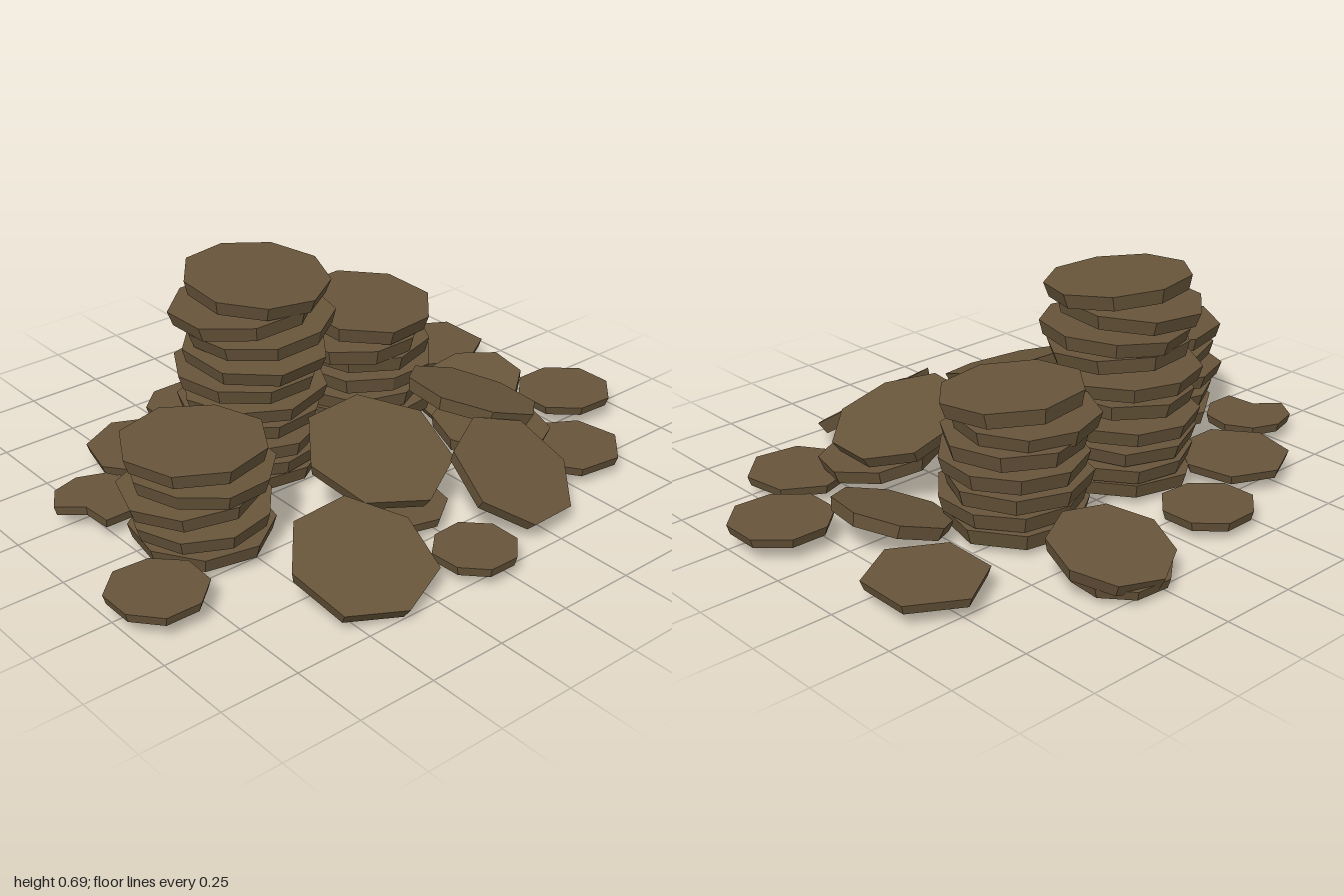
import * as THREE from 'three';

const bronze = new THREE.MeshStandardMaterial({ color: 0x67553a });
bronze.name = 'dull bronze';

// Seeded generator for the slightly uneven rims
let seed = 11;
const rand = () => (seed = (seed * 16807) % 2147483647) / 2147483647;

// Faceted disc with an uneven rim; slopeX and slopeZ are the rise along x and z
function coin(name, x, y, z, r, h, sides, phase, slopeX = 0, slopeZ = 0, notch = -1) {
  let geo = new THREE.CylinderGeometry(r, r * 0.94, h, sides);
  const rim = Array.from({ length: sides }, (_, i) => (i === notch ? 0.5 : 0.97 + rand() * 0.06));
  const p = geo.attributes.position;
  for (let i = 0; i < p.count; i++) {
    const a = Math.atan2(p.getX(i), p.getZ(i)) / (2 * Math.PI);
    const k = rim[(Math.round(a * sides) + sides) % sides];
    p.setX(i, p.getX(i) * k);
    p.setZ(i, p.getZ(i) * k);
  }
  geo.rotateY(phase);
  geo = geo.toNonIndexed();
  geo.computeVertexNormals();
  const mesh = new THREE.Mesh(geo, bronze);
  mesh.name = name;
  mesh.position.set(x, y, z);
  const up = new THREE.Vector3(-slopeX, 1, -slopeZ).normalize();
  mesh.quaternion.setFromUnitVectors(new THREE.Vector3(0, 1, 0), up);
  return mesh;
}

// Layers of a stack: x, y, z, slopeX, slopeZ
function stack(name, r, h, layers) {
  const g = new THREE.Group();
  g.name = name;
  layers.forEach(([x, y, z, sx, sz], i) =>
    g.add(coin('stackedCoin', x, y, z, r, h, 8 + (i % 2), i * 0.31 + 0.2, sx, sz)));
  return g;
}

export function createModel() {
  const model = new THREE.Group();
  model.name = 'coinPile';

  model.add(stack('tallStack', 0.23, 0.046, [
    [-0.18, 0.06, -0.18, 0, 0], [-0.17, 0.11, -0.18, 0.02, 0],
    [-0.19, 0.165, -0.17, 0, 0.02], [-0.18, 0.235, -0.19, 0, 0.01],
    [-0.18, 0.305, -0.17, 0.05, -0.02], [-0.195, 0.37, -0.18, 0, 0],
    [-0.18, 0.445, -0.16, 0, -0.1], [-0.16, 0.513, -0.16, 0.06, 0.02],
    [-0.215, 0.58, -0.17, 0.05, 0.06], [-0.17, 0.655, -0.16, -0.03, -0.09],
  ]));
  model.add(stack('rightStack', 0.225, 0.05, [
    [0.28, 0.06, -0.19, 0, 0], [0.29, 0.115, -0.18, 0, 0.02],
    [0.28, 0.17, -0.2, 0.02, 0], [0.29, 0.235, -0.19, 0, 0.02],
    [0.29, 0.305, -0.2, 0, 0], [0.24, 0.35, -0.19, 0, 0.02],
    [0.28, 0.425, -0.18, -0.03, -0.08],
  ]));
  model.add(stack('leftStack', 0.22, 0.045, [
    [-0.57, 0.065, 0.08, 0, 0], [-0.57, 0.13, 0.08, 0.04, 0],
    [-0.59, 0.205, 0.07, 0.06, 0.03], [-0.57, 0.265, 0.09, -0.03, 0],
    [-0.585, 0.34, 0.08, 0, 0],
  ]));

  // Coins lying flat around the stacks: x, y, z, radius, sides, phase, notched corner
  [
    [-0.73, 0.07, -0.23, 0.138, 9, 0.3, 7], [-0.45, 0.07, -0.41, 0.18, 7, Math.PI],
    [-0.15, 0.055, -0.57, 0.145, 8, 0.39], [0.75, 0.07, -0.35, 0.185, 6, 0],
    [0.85, 0.075, 0.19, 0.158, 8, 0.39], [0.6, 0.06, 0.45, 0.165, 7, 0.35],
    [-0.87, 0.075, 0.285, 0.148, 8, 0.35], [-0.04, 0.06, 0.68, 0.13, 8, 0.39],
    [-0.05, 0.06, 0.36, 0.15, 8, 0.2], [0.3, 0.045, -0.65, 0.155, 8, 0.3],
  ].forEach(([x, y, z, r, n, ph, notch]) =>
    model.add(coin('flatCoin', x, y, z, r, 0.03, n, ph, 0, 0, notch)));

  // Coins leaning on the stacks: x, y, z, radius, sides, phase, slopeX, slopeZ
  [
    [-0.38, 0.11, 0.57, 0.22, 7, 0, 0.02, -0.36],
    [0.235, 0.155, 0.55, 0.205, 7, 0.55, -0.15, -0.62],
    [-0.06, 0.205, 0.27, 0.235, 7, 0.05, 0.02, -0.36],
    [0.375, 0.235, 0.225, 0.215, 8, 0.3, -0.34, -0.02],
    [0.42, 0.125, 0.27, 0.19, 8, 0.1, -0.08, -0.1],
    [0.6, 0.085, -0.01, 0.185, 8, 0.2, 0.32, 0],
    [0.31, 0.1, -0.62, 0.187, 8, 0.1, 0, 0.22],
  ].forEach(([x, y, z, r, n, ph, sx, sz]) =>
    model.add(coin('leaningCoin', x, y, z, r, 0.042, n, ph, sx, sz)));

  return model;
}
